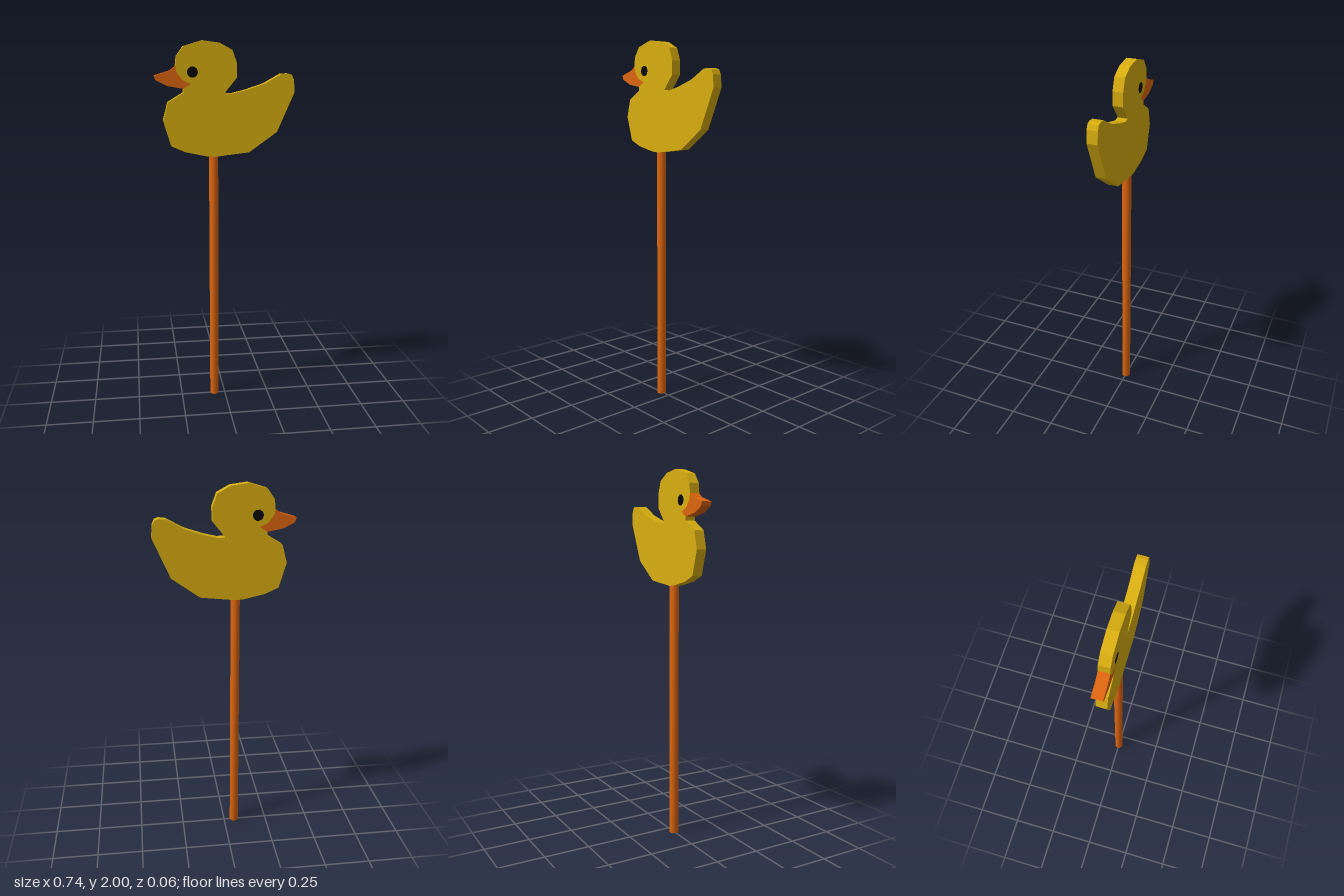
import * as THREE from 'three';
import { mergeVertices } from 'three/addons/utils/BufferGeometryUtils.js';

const THICKNESS = 0.056;
const yellow = new THREE.MeshStandardMaterial({ color: 0xd9ae10 });
const orange = new THREE.MeshStandardMaterial({ color: 0xdd650f });
const black = new THREE.MeshStandardMaterial({ color: 0x080808 });

// Flat board cut from an outline, centred on z = 0
function board(name, points, material) {
  const shape = new THREE.Shape(points.map(([x, y]) => new THREE.Vector2(x, y)));
  const geometry = new THREE.ExtrudeGeometry(shape, { depth: THICKNESS, bevelEnabled: false });
  geometry.translate(0, 0, -THICKNESS / 2);
  const mesh = new THREE.Mesh(geometry, material);
  mesh.name = name;
  return mesh;
}

export function createModel() {
  const group = new THREE.Group();
  group.name = 'duckOnStick';

  // Edge shared by the face and the beak, from top to bottom
  const seam = [[-0.26, 1.87], [-0.255, 1.84], [-0.225, 1.80], [-0.18, 1.78], [-0.22, 1.755]];

  // Head, back, tail, belly and breast in one outline
  group.add(board('duckBody', [
    ...seam,
    [-0.22, 1.735], [-0.303, 1.685], [-0.328, 1.59], [-0.288, 1.457], [-0.215, 1.425],
    [-0.10, 1.40], [-0.055, 1.397], [0.13, 1.418], [0.28, 1.525], [0.372, 1.735],
    [0.367, 1.80], [0.355, 1.825], [0.335, 1.832], [0.30, 1.83], [0.21, 1.78],
    [0.11, 1.747], [0.035, 1.729], [-0.003, 1.732], [0.062, 1.812], [0.062, 1.885],
    [0.037, 1.952], [-0.03, 1.988], [-0.122, 2], [-0.218, 1.971], [-0.255, 1.92],
  ], yellow));

  group.add(board('beak', [
    ...seam, [-0.305, 1.77], [-0.363, 1.80], [-0.372, 1.823], [-0.288, 1.848],
  ], orange));

  // One eye disc on each face of the board
  for (const side of [1, -1]) {
    const eye = new THREE.Mesh(new THREE.CircleGeometry(0.029, 10), black);
    eye.name = side > 0 ? 'frontEye' : 'backEye';
    eye.position.set(-0.172, 1.84, side * (THICKNESS / 2 + 0.001));
    if (side < 0) eye.rotation.y = Math.PI;
    group.add(eye);
  }

  // Stick, with normals shared between the wall and the end caps
  let stickGeometry = new THREE.CylinderGeometry(0.025, 0.025, 1.4, 12);
  stickGeometry.deleteAttribute('normal');
  stickGeometry.deleteAttribute('uv');
  stickGeometry = mergeVertices(stickGeometry);
  stickGeometry.computeVertexNormals();
  const stick = new THREE.Mesh(stickGeometry, orange);
  stick.name = 'stick';
  stick.position.set(-0.06, 0.7, 0);
  group.add(stick);

  return group;
}
